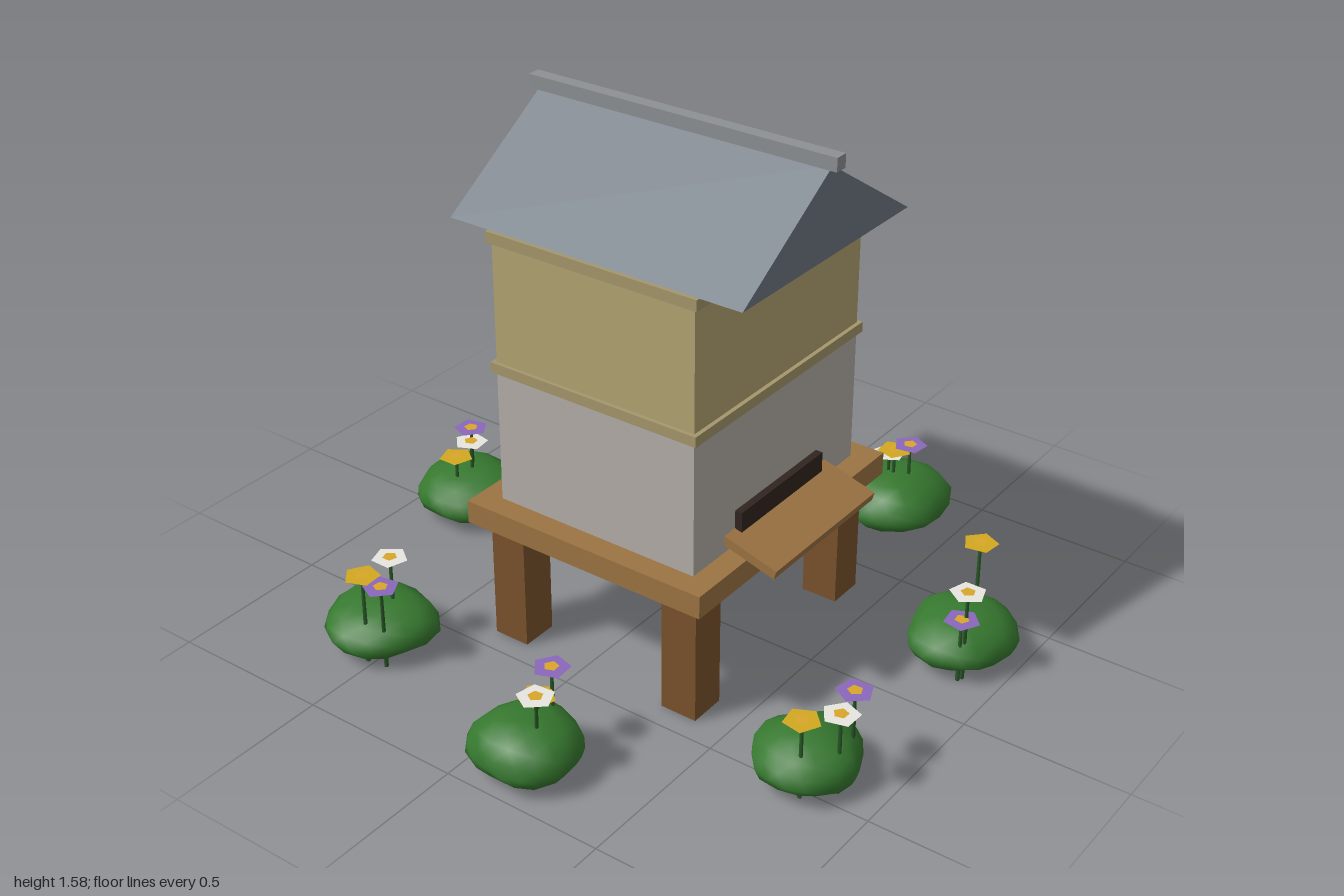
import * as THREE from 'three';
import { mergeVertices } from 'three/addons/utils/BufferGeometryUtils.js';

const mat = (color, side = THREE.FrontSide) => new THREE.MeshStandardMaterial({ color, side });
const MATS = {
  leg: mat(0x7a522c), wood: mat(0x9c7442), lower: mat(0xb4aea7), upper: mat(0xb3a471),
  trim: mat(0xa5966c), roof: mat(0x6d7780), ridge: mat(0x8c9094), dark: mat(0x30241f),
  leaf: mat(0x36782f), stem: mat(0x2a5a28),
  yellow: mat(0xd3a820, THREE.DoubleSide), white: mat(0xe8e6e0, THREE.DoubleSide),
  purple: mat(0x8a68bc, THREE.DoubleSide), pollen: mat(0xd9a628, THREE.DoubleSide),
};

// Hive centre
const CX = -0.0125, CZ = 0.04;

function add(parent, name, geometry, material, x = 0, y = 0, z = 0) {
  const mesh = new THREE.Mesh(geometry, material);
  mesh.name = name;
  mesh.position.set(x, y, z);
  parent.add(mesh);
  return mesh;
}

// Box centred in x and z, given its bottom and top heights
function slab(parent, name, material, w, d, y0, y1, x = CX, z = CZ) {
  return add(parent, name, new THREE.BoxGeometry(w, y1 - y0, d), material, x, (y0 + y1) / 2, z);
}

function makeHive() {
  const hive = new THREE.Group();
  hive.name = 'hive';

  // Stand
  for (const sx of [-1, 1])
    for (const sz of [-1, 1])
      slab(hive, 'leg', MATS.leg, 0.115, 0.115, 0, 0.385, CX + sx * 0.357, CZ + sz * 0.3);
  slab(hive, 'platform', MATS.wood, 0.925, 0.805, 0.385, 0.455);

  // Stacked boxes with trim bands
  slab(hive, 'lowerBox', MATS.lower, 0.785, 0.665, 0.455, 0.87);
  slab(hive, 'middleTrim', MATS.trim, 0.808, 0.69, 0.862, 0.893);
  slab(hive, 'upperBox', MATS.upper, 0.785, 0.665, 0.893, 1.255);
  slab(hive, 'upperTrim', MATS.trim, 0.808, 0.69, 1.253, 1.286);

  // Gabled roof and ridge cap
  const gable = new THREE.Shape([
    new THREE.Vector2(-0.3925, 0), new THREE.Vector2(0.3925, 0), new THREE.Vector2(0, 0.255),
  ]);
  const roof = new THREE.ExtrudeGeometry(gable, { depth: 0.95, bevelEnabled: false });
  add(hive, 'roof', roof, MATS.roof, CX, 1.286, CZ - 0.475);
  slab(hive, 'ridgeCap', MATS.ridge, 0.04, 1.0, 1.535, 1.575);

  // Entrance and sloping landing board
  slab(hive, 'entrance', MATS.dark, 0.4, 0.04, 0.485, 0.565, CX, 0.375);
  const board = add(hive, 'landingBoard', new THREE.BoxGeometry(0.5, 0.028, 0.22), MATS.wood, CX, 0.477, 0.433);
  board.rotation.x = 0.28;
  return hive;
}

// Flattened, slightly lumpy mound with a nearly flat underside
function bushGeometry(rx, rz, top, seed) {
  let g = new THREE.IcosahedronGeometry(1, 2);
  g.deleteAttribute('uv');
  g.deleteAttribute('normal');
  g = mergeVertices(g, 1e-4);
  const p = g.attributes.position;
  for (let i = 0; i < p.count; i++) {
    const x = p.getX(i), y = p.getY(i), z = p.getZ(i);
    const lump = 0.98 + 0.04 * Math.sin(5 * x + seed * 2.1) + 0.04 * Math.sin(6 * z + 4 * y + seed * 1.3);
    const h = y > 0 ? y * (top - 0.068) : Math.max(y * 1.25, -0.95) * 0.054;
    p.setXYZ(i, x * rx * lump, 0.068 + h * (y > 0 ? lump : 1), z * rz * lump);
  }
  g.computeVertexNormals();
  return g;
}

function makeFlower(color, x, y, z, turn) {
  const flower = new THREE.Group();
  flower.name = 'flower';
  flower.position.set(x, 0, z);
  flower.rotation.y = turn;
  add(flower, 'stem', new THREE.CylinderGeometry(0.005, 0.007, y, 5), MATS.stem, 0, y / 2, 0);
  add(flower, 'petals', new THREE.CircleGeometry(0.054, 5), MATS[color], 0, y + 0.001, 0).rotation.x = -Math.PI / 2;
  add(flower, 'flowerCentre', new THREE.CircleGeometry(0.022, 5), MATS.pollen, 0, y + 0.004, 0).rotation.x = -Math.PI / 2;
  return flower;
}

// Bush: x, z, radius x, radius z, height; flowers: colour, x, height, z
const BUSHES = [
  [0.045, -0.82, 0.165, 0.178, 0.165, [['yellow', -0.02, 0.22, -0.82], ['white', 0.04, 0.25, -0.81], ['purple', 0.06, 0.285, -0.825]]],
  [0.69, -0.455, 0.178, 0.177, 0.16, [['yellow', 0.63, 0.22, -0.52], ['white', 0.64, 0.225, -0.38], ['purple', 0.635, 0.205, -0.425]]],
  [0.805, 0.29, 0.183, 0.17, 0.17, [['white', 0.805, 0.22, 0.26], ['yellow', 0.795, 0.245, 0.285], ['purple', 0.82, 0.265, 0.325]]],
  [0.29, 0.825, 0.172, 0.16, 0.16, [['yellow', 0.43, 0.285, 0.79], ['white', 0.18, 0.29, 0.89], ['purple', 0.165, 0.205, 0.885]]],
  [-0.437, 0.772, 0.163, 0.153, 0.16, [['yellow', -0.525, 0.25, 0.805], ['white', -0.45, 0.255, 0.875], ['purple', -0.35, 0.26, 0.855]]],
  [-0.85, 0.15, 0.152, 0.165, 0.175, [['white', -0.865, 0.26, 0.2], ['yellow', -0.8, 0.2, 0.15], ['purple', -0.75, 0.27, 0.16]]],
  [-0.655, -0.555, 0.165, 0.174, 0.155, [['yellow', -0.755, 0.29, -0.52], ['purple', -0.745, 0.27, -0.46], ['white', -0.64, 0.29, -0.52]]],
];

export function createModel() {
  const model = new THREE.Group();
  model.name = 'beehiveGarden';
  model.add(makeHive());
  BUSHES.forEach(([x, z, rx, rz, top, flowers], i) => {
    const plant = new THREE.Group();
    plant.name = 'floweringBush';
    add(plant, 'bush', bushGeometry(rx, rz, top, i), MATS.leaf, x, 0, z);
    flowers.forEach(([color, fx, fy, fz], k) => plant.add(makeFlower(color, fx, fy, fz, i * 0.9 + k * 1.7)));
    model.add(plant);
  });
  return model;
}
